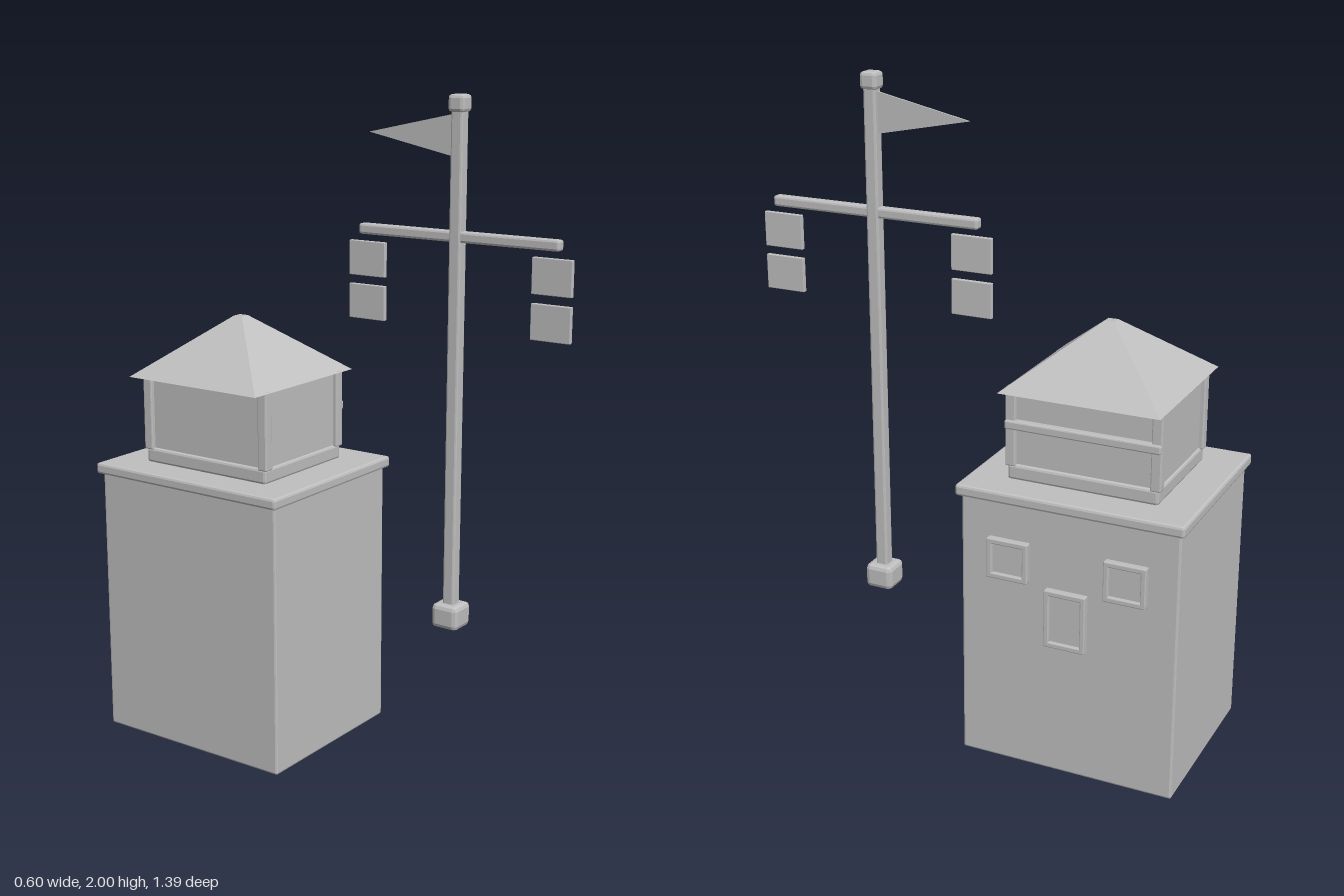
import * as THREE from 'three';
import { RoundedBoxGeometry } from 'three/addons/geometries/RoundedBoxGeometry.js';

export function createModel() {
  const model = new THREE.Group();
  model.name = 'signalTower';
  const grey = new THREE.MeshStandardMaterial({ color: 0xc0c0c0 });
  grey.name = 'grey';
  grey.flatShading = true;
  grey.side = THREE.DoubleSide;

  const add = (name, geometry, parent = model) => {
    const mesh = new THREE.Mesh(geometry, grey);
    mesh.name = name;
    parent.add(mesh);
    return mesh;
  };
  const group = (name) => {
    const g = new THREE.Group();
    g.name = name;
    model.add(g);
    return g;
  };
  // Chamfered box from its limits [min, max] on each axis
  const block = (name, [x0, x1], [y0, y1], [z0, z1], bevel = 0.004, parent = model) => {
    const size = [x1 - x0, y1 - y0, z1 - z0];
    const geometry = bevel ? new RoundedBoxGeometry(...size, 1, bevel) : new THREE.BoxGeometry(...size);
    geometry.translate((x0 + x1) / 2, (y0 + y1) / 2, (z0 + z1) / 2);
    return add(name, geometry, parent);
  };
  const around = (c, half) => [c - half, c + half];

  // Tower body and roof deck
  const cx = -0.003, cz = -0.347;
  block('towerBody', around(cx, 0.281), [0, 0.84], around(cz, 0.334), 0.006);
  block('deck', around(cx, 0.298), [0.835, 0.87], around(cz, 0.348), 0.008);

  // Lookout cabin with corner posts and a rail on its left side
  const cabin = group('cabin');
  const hx = 0.194, hz = 0.238;
  block('curb', around(cx, 0.191), [0.868, 0.915], around(cz, 0.231), 0.008, cabin);
  block('cabinWalls', around(cx, hx - 0.014), [0.9, 1.15], around(cz, hz - 0.014), 0, cabin);
  for (const sx of [-1, 1]) {
    for (const sz of [-1, 1]) {
      block('cornerPost', around(cx + sx * (hx - 0.016), 0.016), [0.91, 1.15],
        around(cz + sz * (hz - 0.016), 0.016), 0.004, cabin);
    }
  }
  block('cabinRail', [0.17, 0.2], [1.025, 1.052], around(cz, 0.237), 0.005, cabin);

  // Pyramid roof with a small flat top
  const roof = new THREE.CylinderGeometry(0.015 * Math.SQRT2, 0.2435 * Math.SQRT2, 0.18, 4);
  roof.rotateY(Math.PI / 4);
  roof.translate(-0.005, 1.235, cz - 0.003);
  add('roof', roof);

  // Framed windows on the left side: [centre z, bottom, top]
  const windows = group('windows');
  for (const [z, y0, y1] of [[-0.165, 0.6, 0.724], [-0.346, 0.416, 0.596], [-0.526, 0.6, 0.724]]) {
    const x = [0.27, 0.299], w = 0.064, t = 0.016;
    block('frameTop', x, [y1 - t, y1], around(z, w), 0.003, windows);
    block('frameSill', x, [y0, y0 + t], around(z, w), 0.003, windows);
    for (const s of [-1, 1]) {
      block('frameSide', x, [y0, y1], around(z + s * (w - t / 2), t / 2), 0.003, windows);
    }
    block('pane', [0.27, 0.287], [y0 + t / 2, y1 - t / 2], around(z, w - t / 2), 0, windows);
  }

  // Signal mast with foot, cap and crossarm
  const mast = group('mast');
  const px = 0.148, pz = 0.323;
  block('mastFoot', around(px, 0.044), [0.42, 0.495], around(pz, 0.044), 0.014, mast);
  block('mastPole', around(px, 0.019), [0.48, 1.97], around(pz, 0.019), 0.006, mast);
  block('mastCap', around(px, 0.026), [1.95, 2], around(pz, 0.026), 0.01, mast);
  block('crossarm', around(px, 0.016), [1.585, 1.617], around(pz, 0.333), 0.007, mast);

  // Hanging signal boards, two below each end of the arm
  for (const s of [-1, 1]) {
    for (const y of [1.512, 1.382]) {
      block('signalBoard', around(px, 0.007), around(y, 0.052), around(pz + s * 0.309, 0.063), 0.002, mast);
    }
  }

  // Pennant pointing back from the pole
  const pennant = new THREE.Shape([
    new THREE.Vector2(-0.306, 1.945),
    new THREE.Vector2(-0.306, 1.826),
    new THREE.Vector2(-0.018, 1.884),
  ]);
  const cloth = new THREE.ExtrudeGeometry(pennant, { depth: 0.006, bevelEnabled: false });
  cloth.rotateY(Math.PI / 2);
  cloth.translate(px - 0.003, 0, 0);
  add('pennant', cloth, mast);

  return model;
}
